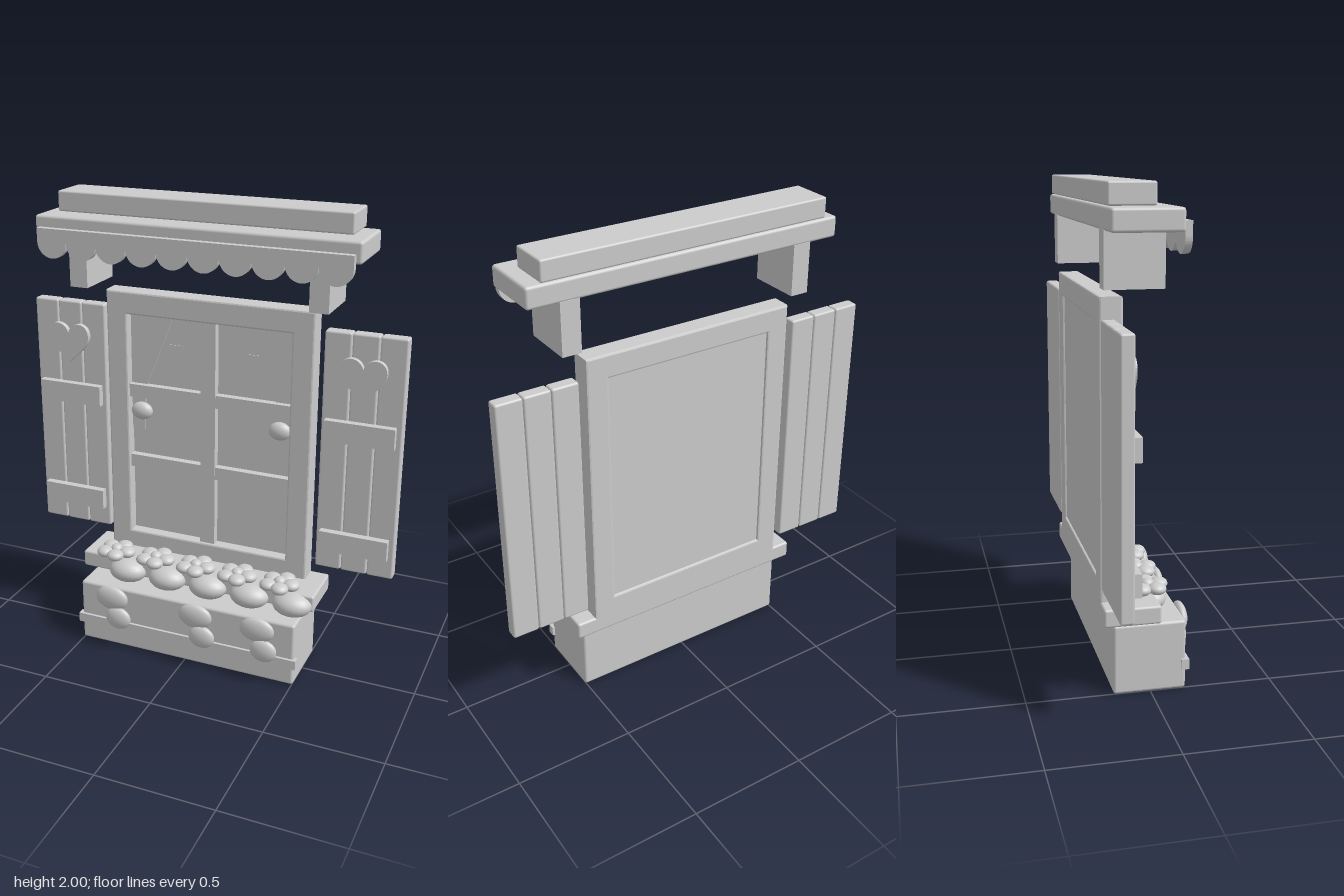
import * as THREE from 'three';
import { RoundedBoxGeometry } from 'three/addons/geometries/RoundedBoxGeometry.js';

export function createModel() {
  const model = new THREE.Group();
  model.name = 'window';
  const grey = new THREE.MeshStandardMaterial({ color: 0xcccccc });
  grey.name = 'plain grey';

  const add = (name, geometry) => {
    const mesh = new THREE.Mesh(geometry, grey);
    mesh.name = name;
    model.add(mesh);
    return mesh;
  };
  // Box given by its limits; r > 0 rounds the edges
  const box = (name, x0, x1, y0, y1, z0, z1, r = 0) => {
    const size = [x1 - x0, y1 - y0, z1 - z0];
    const geometry = r ? new RoundedBoxGeometry(...size, 2, r) : new THREE.BoxGeometry(...size);
    add(name, geometry).position.set((x0 + x1) / 2, (y0 + y1) / 2, (z0 + z1) / 2);
  };
  const blob = (name, x, y, z, rx, ry, rz) => {
    const mesh = add(name, new THREE.SphereGeometry(1, 20, 14));
    mesh.position.set(x, y, z);
    mesh.scale.set(rx, ry, rz);
  };
  const plate = (name, shape, z0, depth) => {
    const geometry = new THREE.ExtrudeGeometry(shape, { depth, bevelEnabled: false, curveSegments: 12 });
    const mesh = add(name, geometry);
    mesh.position.z = z0;
    return mesh;
  };
  const polygon = (points) => new THREE.Shape(points.map(([x, y]) => new THREE.Vector2(x, y)));

  const back = -0.195;

  // Canopy
  box('canopyTop', -0.63, 0.63, 1.915, 2, back, -0.015, 0.008);
  box('canopyLedge', -0.69, 0.69, 1.825, 1.912, back, 0.075, 0.012);

  // Scalloped valance, ten half circles along the lower edge
  const half = 0.667, count = 10, radius = half / count;
  const valance = new THREE.Shape();
  valance.moveTo(half, 1.81);
  valance.lineTo(half, 1.865);
  valance.lineTo(-half, 1.865);
  valance.lineTo(-half, 1.81);
  for (let i = 0; i < count; i++) {
    valance.absarc(-half + radius * (2 * i + 1), 1.81, radius, Math.PI, 2 * Math.PI, false);
  }
  plate('valance', valance, 0.076, 0.028);

  // Window frame with a bevelled edge
  const b = 0.008;
  const rect = (x, y0, y1) => [[-x, y0], [x, y0], [x, y1], [-x, y1]];
  const frame = polygon(rect(0.467 - b, 0.35 + b, 1.58 - b));
  frame.holes.push(polygon(rect(0.371 + b, 0.46 - b, 1.48 + b)));
  const frameGeometry = new THREE.ExtrudeGeometry(frame, {
    depth: 0.092 - 2 * b, bevelEnabled: true, bevelThickness: b, bevelSize: b, bevelSegments: 2,
  });
  add('windowFrame', frameGeometry).position.z = back + b;

  // Glass, glazing bars and shine streaks
  box('glass', -0.375, 0.375, 0.455, 1.485, -0.185, -0.15);
  box('verticalBar', -0.034, 0.034, 0.46, 1.48, -0.15, -0.115);
  for (const y of [0.803, 1.135]) box('horizontalBar', -0.371, 0.371, y - 0.029, y + 0.029, -0.15, -0.117);
  for (const x of [-0.285, 0.075]) {
    plate('shineStreak', polygon([[x, 1.195], [x + 0.06, 1.195], [x + 0.155, 1.355], [x + 0.095, 1.355]]), -0.151, 0.004);
  }

  // Paired parts: bracket, curtain, tieback and shutter
  for (const side of [-1, 1]) {
    const pair = (name, x0, x1, ...rest) =>
      box(name, Math.min(side * x0, side * x1), Math.max(side * x0, side * x1), ...rest);
    pair('canopyBracket', 0.48, 0.56, 1.615, 1.83, back, 0.034);

    const outline = [[0.371, 1.48], [0.17, 1.48], [0.295, 1.17], [0.307, 1.1], [0.312, 0.95], [0.371, 0.95]];
    plate('curtain', polygon(outline.map(([x, y]) => [side * x, y])), -0.151, 0.008);
    blob('curtainTie', side * 0.321, 1.04, -0.135, 0.05, 0.04, 0.03);

    for (let i = 0; i < 3; i++) {
      const x = 0.497 + i * 0.1145;
      pair('shutterPlank', x, x + 0.113, 0.44, 1.5, back, -0.14, 0.009);
    }
    for (const y of [0.578, 1.083]) pair('shutterBatten', 0.518, 0.815, y - 0.046, y + 0.046, -0.142, -0.108);

    const heart = new THREE.Shape();
    heart.moveTo(0, -0.09);
    heart.bezierCurveTo(0.03, -0.055, 0.098, -0.02, 0.098, 0.035);
    heart.bezierCurveTo(0.098, 0.1, 0.015, 0.1, 0, 0.045);
    heart.bezierCurveTo(-0.015, 0.1, -0.098, 0.1, -0.098, 0.035);
    heart.bezierCurveTo(-0.098, -0.02, -0.03, -0.055, 0, -0.09);
    plate('shutterHeart', heart, -0.142, 0.025).position.set(side * 0.668, 1.317, -0.142);
  }

  // Sill and planter box
  box('sill', -0.55, 0.55, 0.305, 0.38, back, 0.034, 0.01);
  box('planter', -0.505, 0.505, 0, 0.29, -0.15, 0.145, 0.012);
  box('planterTrim', -0.517, 0.517, 0.085, 0.128, 0.125, 0.157);

  // Flowers with five petals around a centre, and leaves below
  for (let i = 0; i < 5; i++) {
    const x = (i - 2) * 0.195;
    for (let k = 0; k < 5; k++) {
      const a = k * Math.PI * 0.4;
      blob('petal', x + 0.052 * Math.cos(a), 0.405, 0.012 + 0.052 * Math.sin(a), 0.038, 0.024, 0.038);
    }
    blob('flowerCentre', x, 0.412, 0.012, 0.028, 0.024, 0.028);
    blob('leaf', x + 0.066, 0.33, 0.035, 0.088, 0.053, 0.068);
  }

  // Trailing leaves on the planter front
  for (const x of [-0.345, 0.058, 0.343]) {
    blob('trailingLeaf', x, 0.245, 0.16, 0.078, 0.056, 0.027);
    blob('trailingLeafTip', x + 0.034, 0.155, 0.17, 0.06, 0.052, 0.025);
  }
  return model;
}
